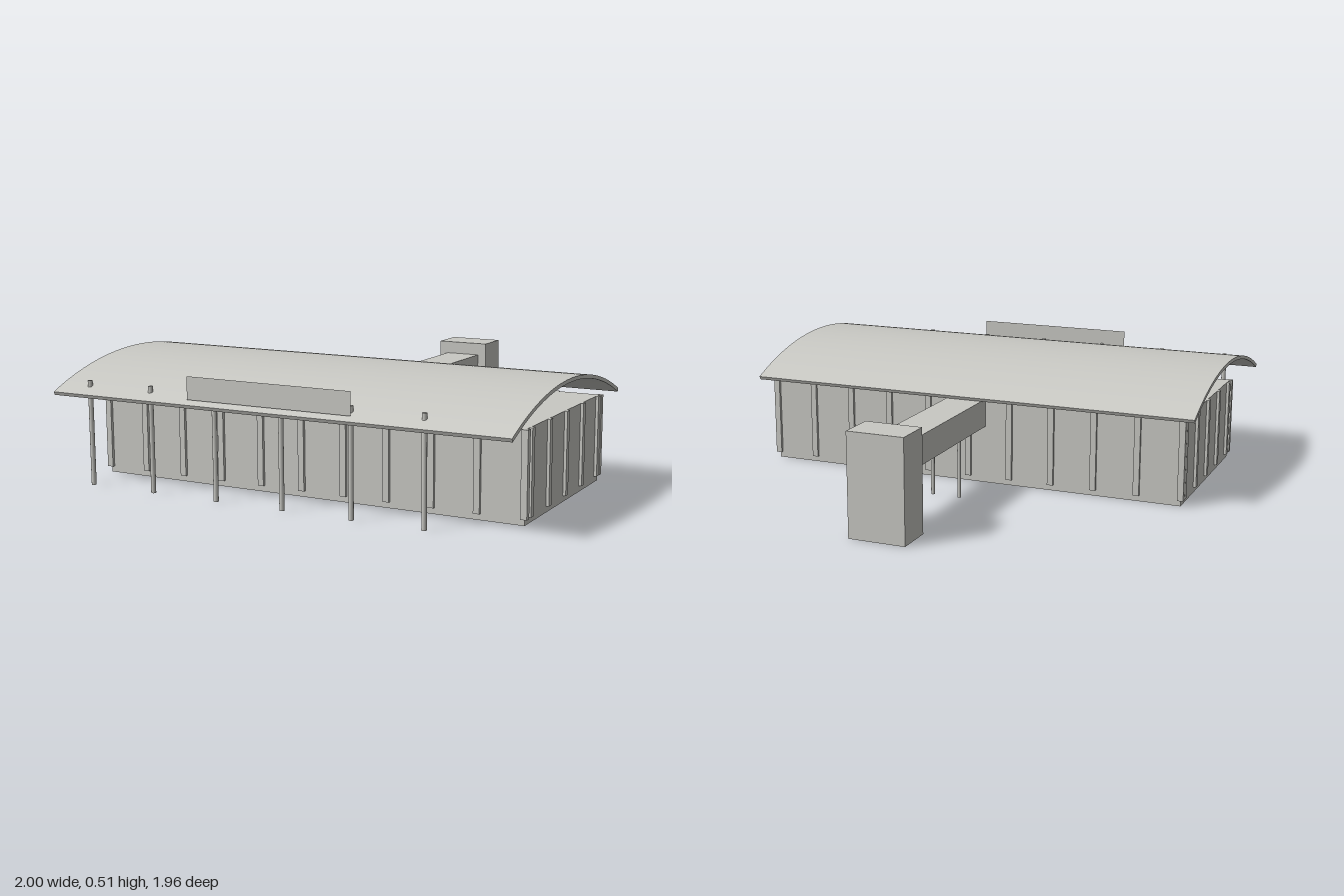
import * as THREE from 'three';

export function createModel() {
  const group = new THREE.Group();
  const grey = new THREE.MeshStandardMaterial({ color: 0xc8c8c3 });
  grey.name = 'warmGrey';
  const greySheet = new THREE.MeshStandardMaterial({ color: 0xc8c8c3, side: THREE.DoubleSide });
  greySheet.name = 'warmGrey';

  const add = (name, geometry, x, y, z, material = grey) => {
    const mesh = new THREE.Mesh(geometry, material);
    mesh.name = name;
    mesh.position.set(x, y, z);
    group.add(mesh);
    return mesh;
  };
  // Box given by its limits on each axis
  const box = (name, x0, x1, y0, y1, z0, z1) =>
    add(name, new THREE.BoxGeometry(x1 - x0, y1 - y0, z1 - z0), (x0 + x1) / 2, (y0 + y1) / 2, (z0 + z1) / 2);
  const post = (name, x, z, height, radius) =>
    add(name, new THREE.CylinderGeometry(radius, radius, height, 12), x, height / 2, z);

  // Main hall
  const halfX = 0.94, front = 0.7, back = -0.1, wallTop = 0.36;
  box('hall', -halfX, halfX, 0, wallTop, back, front);

  // Mullions on the long and short walls
  const w = 0.013, d = 0.012, low = 0.025;
  for (let i = 0; i <= 10; i++) {
    const x = -0.94 + i * 0.188;
    box('frontMullion', x - w, x + w, low, wallTop, front - d, front + d);
    box('backMullion', x - w, x + w, low, wallTop, back - d, back + d);
  }
  for (let i = 0; i < 5; i++) {
    const z = -0.07 + i * 0.181;
    for (const s of [-1, 1]) {
      box('sideMullion', s * halfX - d, s * halfX + d, low, wallTop, z - w, z + w);
    }
  }

  // Vaulted roof: a thin circular arc swept along x
  const midZ = 0.41, crown = 0.508, half = 0.57, rise = 0.125, thick = 0.015;
  const radius = (half * half + rise * rise) / (2 * rise);
  const sweep = Math.asin(half / radius);
  const profile = new THREE.Shape();
  profile.absarc(0, 0, radius, Math.PI / 2 - sweep, Math.PI / 2 + sweep, false);
  profile.absarc(0, 0, radius - thick, Math.PI / 2 + sweep, Math.PI / 2 - sweep, true);
  profile.closePath();
  const roof = new THREE.ExtrudeGeometry(profile, { depth: 2, bevelEnabled: false, curveSegments: 40 });
  roof.translate(0, 0, -1).rotateY(Math.PI / 2);
  smoothArc(roof, radius - thick / 2);
  add('roof', roof, 0, crown - radius, midZ);

  // Front colonnade, piercing the roof
  for (let i = 0; i < 6; i++) post('frontPost', -0.86 + i * 0.3, 0.92, 0.432, 0.01);

  // Blank sign panel above the front eave
  add('signPanel', new THREE.PlaneGeometry(0.72, 0.092), 0, 0.446, 0.957, greySheet);

  // Raised rear corridor on paired posts
  box('corridor', -0.08, 0.08, 0.25, 0.37, -0.82, -0.105);
  for (const z of [-0.34, -0.735]) {
    for (const s of [-1, 1]) post('corridorPost', s * 0.06, z, 0.25, 0.008);
  }

  // Rear tower
  box('tower', -0.12, 0.12, 0, 0.425, -0.98, -0.82);

  return group;
}

// Gives the curved faces radial normals, leaving the ends and eaves flat
function smoothArc(geometry, middle) {
  const p = geometry.attributes.position, n = geometry.attributes.normal;
  for (let i = 0; i < p.count; i++) {
    if (Math.abs(n.getX(i)) > 0.5) continue;
    const r = Math.hypot(p.getY(i), p.getZ(i));
    const ry = p.getY(i) / r, rz = p.getZ(i) / r;
    if (Math.abs(n.getY(i) * ry + n.getZ(i) * rz) < 0.5) continue;
    const s = r > middle ? 1 : -1;
    n.setXYZ(i, 0, s * ry, s * rz);
  }
}
